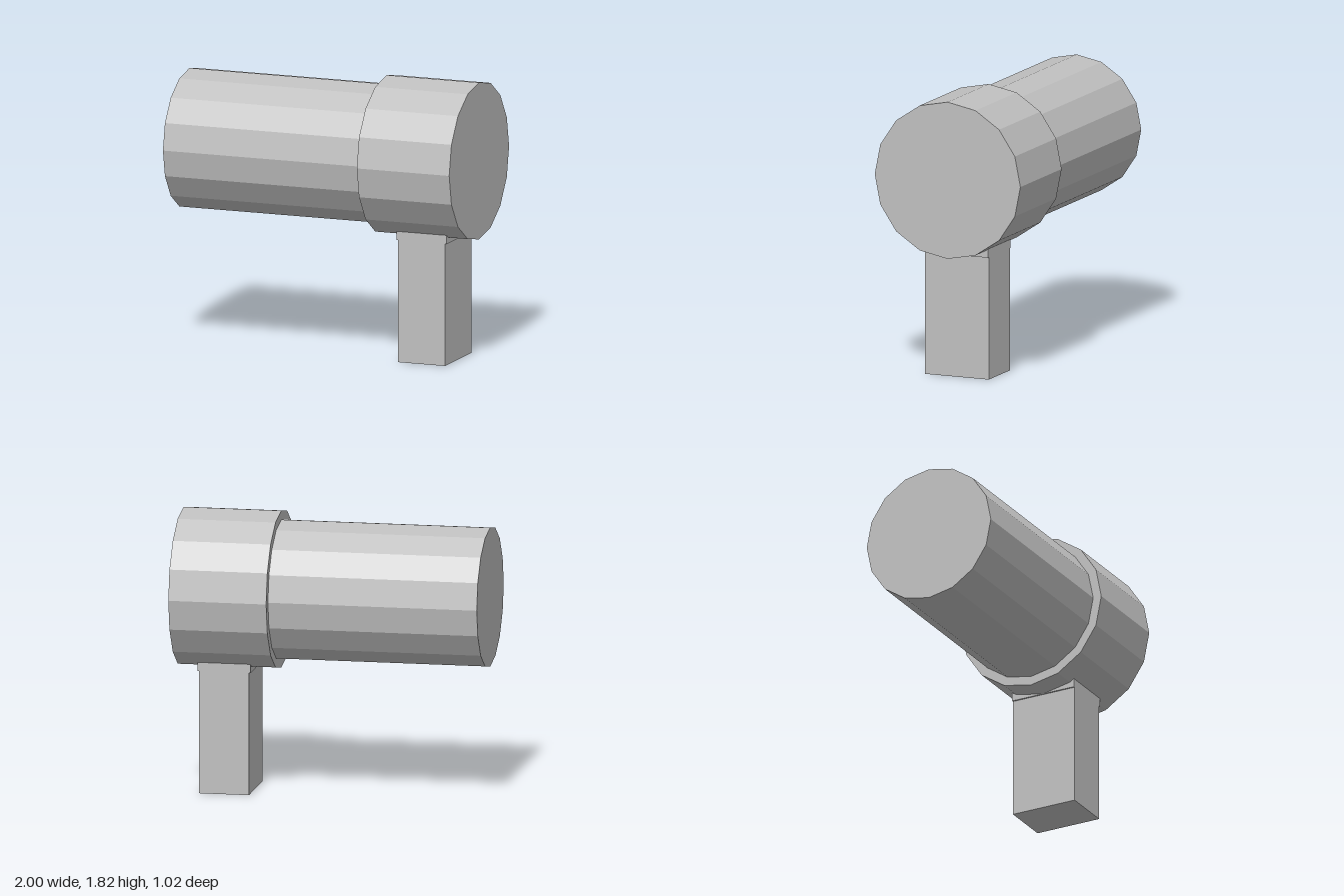
import * as THREE from 'three';

export function createModel() {
  const model = new THREE.Group();
  const gray = new THREE.MeshStandardMaterial({ color: 0xc0c0c0, flatShading: true });
  gray.name = 'light gray';

  const add = (name, geometry, x, y) => {
    const mesh = new THREE.Mesh(geometry, gray);
    mesh.name = name;
    mesh.position.set(x, y, 0);
    model.add(mesh);
  };

  // 16-sided drum lying along x
  const drum = (name, radius, x0, x1) => add(name,
    new THREE.CylinderGeometry(radius, radius, x1 - x0, 16).rotateZ(Math.PI / 2),
    (x0 + x1) / 2, 1.308);

  // Upright block of the given span in x and y
  const block = (name, x0, x1, y0, y1) => add(name,
    new THREE.BoxGeometry(x1 - x0, y1 - y0, 0.45),
    (x0 + x1) / 2, (y0 + y1) / 2);

  // Long body and the wider head at its end
  drum('body', 0.453, -1, 0.365);
  drum('head', 0.512, 0.362, 1);

  // Handle, with a slightly wider collar sunk into the head
  block('handle', 0.53, 0.857, 0, 0.8);
  block('handleCollar', 0.52, 0.866, 0.797, 0.95);

  return model;
}
